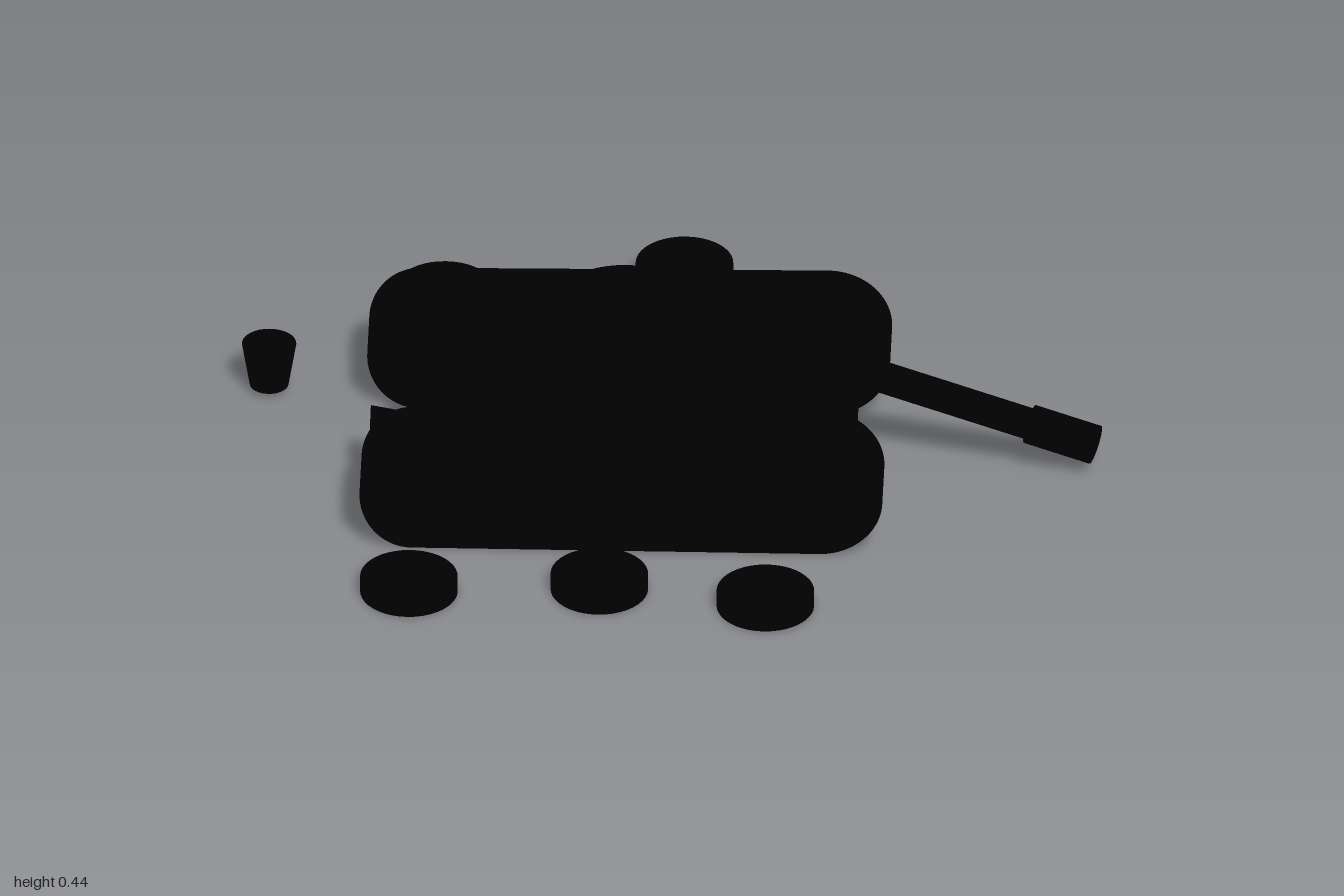
import * as THREE from 'three';

const black = new THREE.MeshStandardMaterial({ color: 0x000000 });
const CENTRE_Z = 0.062;

function add(parent, name, geometry, x = 0, y = 0, z = 0) {
  const mesh = new THREE.Mesh(geometry, black);
  mesh.name = name;
  mesh.position.set(x, y, z);
  parent.add(mesh);
  return mesh;
}

// Side profile in x/y, extruded along z and centred on it
function extrudeZ(shape, depth) {
  const g = new THREE.ExtrudeGeometry(shape, { depth, bevelEnabled: false, curveSegments: 24 });
  return g.translate(0, 0, -depth / 2);
}

// Track outline, moved inwards by inset; its rear end is slightly lower
function trackOutline(inset) {
  const shape = new THREE.Shape();
  shape.absarc(0.355, 0.151, 0.147 - inset, -Math.PI / 2, Math.PI / 2, false);
  shape.absellipse(-0.588, 0.146, 0.12 - inset, 0.142 - inset, Math.PI / 2, Math.PI * 1.5, false);
  shape.closePath();
  return shape;
}

// Flaring exhaust cup with a hollow mouth, standing on its narrow end
function exhaustGeometry() {
  const points = [[0, 0], [0.045, 0], [0.045, 0], [0.063, 0.11], [0.063, 0.11],
    [0.04, 0.11], [0.04, 0.11], [0.035, 0.06], [0.035, 0.06], [0, 0.06]];
  return new THREE.LatheGeometry(points.map(([r, y]) => new THREE.Vector2(r, y)), 32);
}

export function createModel() {
  const model = new THREE.Group();
  model.name = 'tank';

  // Hull with a rounded nose and a deck that falls a little to the rear
  const hull = new THREE.Shape();
  hull.moveTo(-0.58, 0.05);
  hull.lineTo(0.43, 0.05);
  hull.lineTo(0.43, 0.26);
  hull.quadraticCurveTo(0.43, 0.3, 0.39, 0.3);
  hull.lineTo(-0.38, 0.3);
  hull.lineTo(-0.58, 0.287);
  hull.closePath();
  add(model, 'hull', extrudeZ(hull, 0.46), 0, 0, CENTRE_Z);

  // Tracks: tread band around a recessed plate, one wheel still seated in each
  const band = trackOutline(0);
  band.holes.push(trackOutline(0.034));
  const plate = trackOutline(0.03);
  for (const [side, name, wheelX] of [[1, 'front', 0.335], [-1, 'back', 0.035]]) {
    const z = CENTRE_Z + side * 0.3;
    add(model, name + 'TrackBand', extrudeZ(band, 0.16), 0, 0, z);
    add(model, name + 'TrackPlate', extrudeZ(plate, 0.12), 0, 0, z - side * 0.02);
    const wheel = add(model, name + 'Wheel', new THREE.CylinderGeometry(0.112, 0.112, 0.04, 40),
      wheelX, 0.15, z + side * 0.056);
    wheel.rotation.x = Math.PI / 2;
  }

  // Conical turret
  add(model, 'turret', new THREE.CylinderGeometry(0.17, 0.265, 0.15, 48), -0.106, 0.365, CENTRE_Z + 0.003);

  // Drooping gun: collar, barrel and muzzle along one axis
  const gun = new THREE.Group();
  gun.name = 'gun';
  gun.position.set(0.14, 0.376, CENTRE_Z);
  gun.rotation.z = -Math.PI / 2 - 0.344;
  model.add(gun);
  for (const [name, radius, from, to] of [['collar', 0.046, 0, 0.12],
    ['barrel', 0.037, 0.1, 0.8], ['muzzle', 0.046, 0.735, 0.896]]) {
    add(gun, name, new THREE.CylinderGeometry(radius, radius, to - from, 32), 0, (from + to) / 2, 0);
  }

  // One exhaust on the hull, one lying off
  const fitted = add(model, 'fittedExhaust', exhaustGeometry(), -0.58, 0.15, 0.178);
  fitted.rotation.z = Math.PI / 2;
  add(model, 'looseExhaust', exhaustGeometry(), -0.937, 0.02, -0.23);

  // Loose wheels scattered around
  const loose = [[-0.588, 0.025, 0.63], [-0.148, 0.025, 0.607], [0.238, 0.025, 0.668],
    [-0.541, 0.06, -0.562], [0.011, 0.07, -0.669], [0.318, 0.023, -0.472]];
  for (const [x, y, z] of loose) {
    add(model, 'looseWheel', new THREE.CylinderGeometry(0.113, 0.113, 0.04, 40), x, y, z);
  }
  return model;
}
